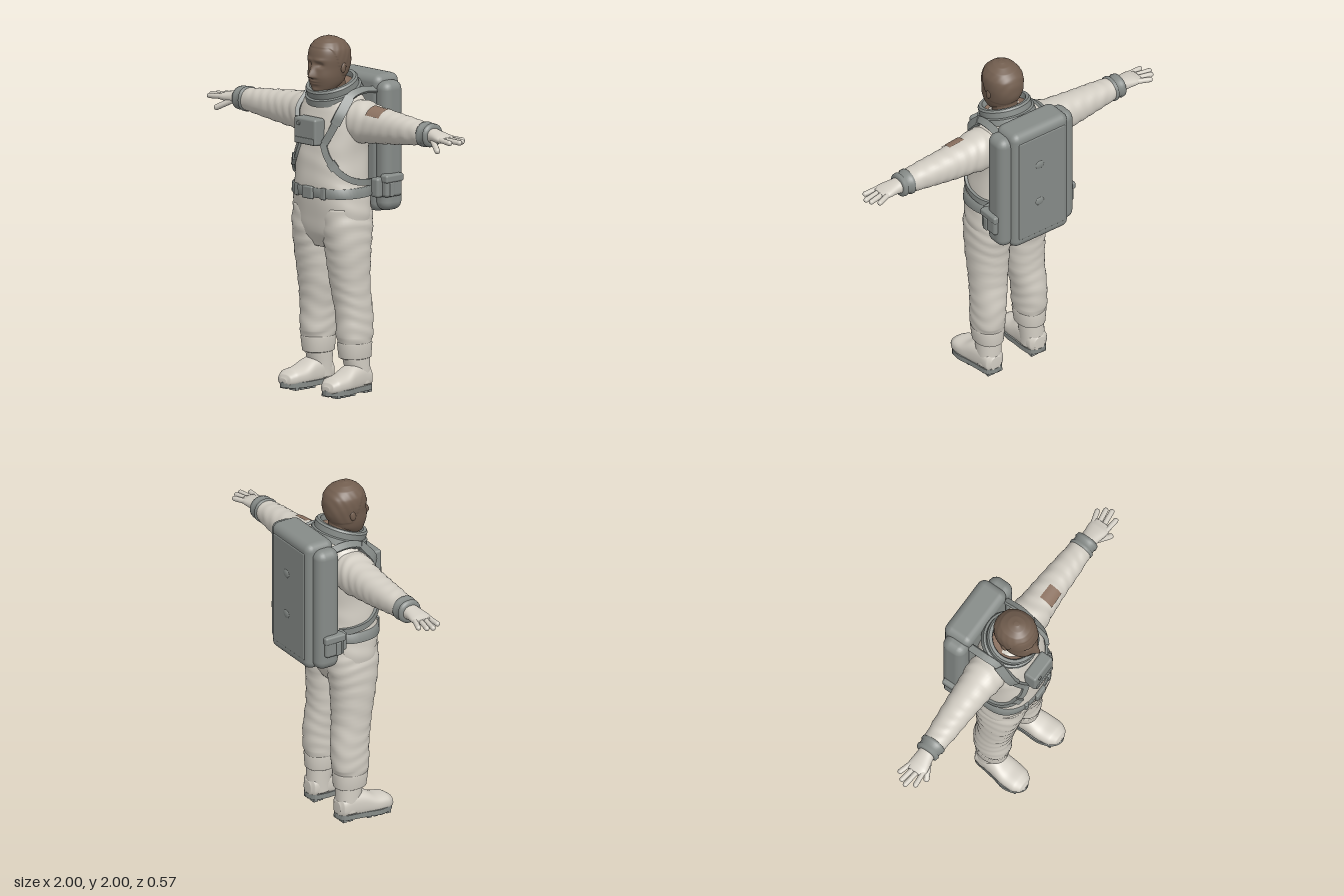
import * as THREE from 'three';
import { toCreasedNormals } from 'three/addons/utils/BufferGeometryUtils.js';
import { RoundedBoxGeometry } from 'three/addons/geometries/RoundedBoxGeometry.js';

const material = (name, color, extra = {}) => {
  const m = new THREE.MeshStandardMaterial({ color, ...extra });
  m.name = name;
  return m;
};
const V = (x, y, z) => new THREE.Vector3(x, y, z);
const step = THREE.MathUtils.smoothstep;
const power = (v, e) => Math.sign(v) * Math.abs(v) ** e;
const bump = (d, w) => Math.exp(-((d / w) ** 2));

// Places a cross-section point: section = [position along axis, centre a, centre b, radius a, radius b]
const place = {
  x: (p, a, b, c, s) => [p, a + c, b + s],
  y: (p, a, b, c, s) => [a + s, p, b + c],
  z: (p, a, b, c, s) => [a + c, b + s, p],
};

function buildGeometry(pos, idx) {
  const g = new THREE.BufferGeometry();
  g.setAttribute('position', new THREE.Float32BufferAttribute(pos, 3));
  g.setIndex(idx);
  g.computeVertexNormals();
  return g;
}

// Smooth skin through superelliptic sections, with optional cloth folds and a partial arc
function loft(axis, sections, { n = 2.2, sub = 8, seg = 40, fold = 0, freq = 80, arc = null } = {}) {
  const pos = [], idx = [], last = (sections.length - 1) * sub, cols = arc ? seg + 1 : seg;
  for (let i = 0; i <= last; i++) {
    const k = Math.min(Math.floor(i / sub), sections.length - 2), t = i / sub - k;
    const sec = [0, 1, 2, 3, 4].map(q => {
      const f = j => sections[THREE.MathUtils.clamp(j, 0, sections.length - 1)][q];
      if (sub === 1 || q === 0) return f(k) + (f(k + 1) - f(k)) * t;
      const m0 = (f(k + 1) - f(k - 1)) / 2, m1 = (f(k + 2) - f(k)) / 2, d = f(k + 1) - f(k);
      return f(k) + m0 * t + (3 * d - 2 * m0 - m1) * t * t + (m0 + m1 - 2 * d) * t ** 3;
    });
    const [p, a, b, ra, rb] = sec;
    for (let j = 0; j < cols; j++) {
      const th = arc ? arc[0] + (arc[1] - arc[0]) * j / seg : j / seg * Math.PI * 2;
      const w = 1 + fold * Math.sin(p * freq + 2 * Math.sin(2 * th + p * 9));
      let c = power(Math.cos(th), 2 / n) * ra * w, s = power(Math.sin(th), 2 / n) * rb * w;
      if (axis === 'y') { c = power(Math.cos(th), 2 / n) * rb * w; s = power(Math.sin(th), 2 / n) * ra * w; }
      pos.push(...place[axis](p, a, b, c, s));
      if (i < last && (!arc || j < seg)) {
        const A = i * cols + j, B = i * cols + (j + 1) % cols;
        idx.push(A, B, A + cols, B, B + cols, A + cols);
      }
    }
  }
  if (!arc) [0, last].forEach(i => {
    const s = sections[i ? sections.length - 1 : 0], centre = pos.length / 3;
    pos.push(...place[axis](s[0], s[1], s[2], 0, 0));
    for (let j = 0; j < seg; j++) {
      const A = i * cols + j, B = i * cols + (j + 1) % cols;
      idx.push(...(i ? [A, B, centre] : [B, A, centre]));
    }
  });
  return buildGeometry(pos, idx);
}

// Flat webbing that follows a path and faces away from the body axis
function ribbon(points, width, thick, steps = 40) {
  const curve = new THREE.CatmullRomCurve3(points), pos = [], idx = [];
  for (let i = 0; i <= steps; i++) {
    const p = curve.getPointAt(i / steps), t = curve.getTangentAt(i / steps);
    const out = V(p.x, Math.max(0, p.y - 1.55) * 1.6, p.z - 0.05);
    out.addScaledVector(t, -out.dot(t)).normalize();
    const side = t.clone().cross(out).normalize();
    [[-1, -1], [1, -1], [1, 1], [-1, 1]].forEach(([u, v]) => pos.push(...p.clone()
      .addScaledVector(side, u * width / 2).addScaledVector(out, v * thick / 2).toArray()));
    for (let j = 0; j < 4 && i < steps; j++) {
      const A = i * 4 + j, B = i * 4 + (j + 1) % 4;
      idx.push(A, A + 4, B, B, A + 4, B + 4);
    }
  }
  const e = steps * 4;
  idx.push(0, 1, 2, 0, 2, 3, e, e + 2, e + 1, e, e + 3, e + 2);
  return toCreasedNormals(buildGeometry(pos, idx), 0.6);
}

const box = (w, h, d, x, y, z, r = 0.01) => new RoundedBoxGeometry(w, h, d, 3, r).translate(x, y, z);

function capsule(a, b, r) {
  const d = b.clone().sub(a), q = new THREE.Quaternion().setFromUnitVectors(V(0, 1, 0), d.clone().normalize());
  const mid = a.clone().add(b).multiplyScalar(0.5);
  return new THREE.CapsuleGeometry(r, d.length(), 6, 14).applyQuaternion(q).translate(mid.x, mid.y, mid.z);
}

function mirrored(geo) {
  const g = geo.clone().scale(-1, 1, 1);
  const ix = g.index ? Array.from(g.index.array) : Array.from({ length: g.attributes.position.count }, (_, i) => i);
  for (let i = 0; i < ix.length; i += 3) [ix[i], ix[i + 1]] = [ix[i + 1], ix[i]];
  return g.setIndex(ix);
}

const TORSO = [[0.82, 0, 0.06, 0.14, 0.1], [0.9, 0, 0.06, 0.215, 0.145], [1.0, 0, 0.06, 0.238, 0.16],
  [1.1, 0, 0.065, 0.232, 0.17], [1.2, 0, 0.065, 0.212, 0.175], [1.35, 0, 0.06, 0.205, 0.172],
  [1.5, 0, 0.045, 0.215, 0.165], [1.6, 0, 0.04, 0.205, 0.148], [1.66, 0, 0.04, 0.165, 0.125], [1.7, 0, 0.03, 0.1, 0.08]];

// Point on the torso surface at an angle from the front
function onTorso(deg, y, lift = 0.008) {
  const k = TORSO.findIndex(s => s[0] >= y), A = TORSO[k - 1], B = TORSO[k], t = (y - A[0]) / (B[0] - A[0]);
  const f = q => A[q] + (B[q] - A[q]) * t, th = deg * Math.PI / 180;
  return V(power(Math.sin(th), 2 / 2.4) * (f(3) + lift), y, f(2) + power(Math.cos(th), 2 / 2.4) * (f(4) + lift));
}

// Head skin with brow, eye sockets, nose, lips and a raised hairline
function headGeometry() {
  const g = loft('y', [[1.68, 0, 0.15, 0.025, 0.025], [1.7, 0, 0.13, 0.058, 0.06], [1.74, 0, 0.108, 0.082, 0.096],
    [1.78, 0, 0.1, 0.094, 0.114], [1.83, 0, 0.088, 0.101, 0.122], [1.88, 0, 0.086, 0.106, 0.123],
    [1.93, 0, 0.085, 0.101, 0.113], [1.97, 0, 0.085, 0.077, 0.083], [1.99, 0, 0.09, 0.046, 0.05],
    [2.0, 0, 0.09, 0.012, 0.014]], { n: 2.2, seg: 96, sub: 10 });
  const p = g.attributes.position;
  for (let i = 0; i < p.count; i++) {
    let x = p.getX(i), y = p.getY(i), z = p.getZ(i);
    const hair = step(y - (1.78 + 0.16 * step(z, 0.07, 0.16)), 0, 0.008) * (1 - step(y, 1.95, 1.99));
    const grow = 1 + hair * (0.035 + 0.008 * Math.sin(z * 160 + y * 70));
    if (z > 0.1) {
      const ax = Math.abs(x);
      z += 0.034 * bump(x, 0.013 + 0.12 * Math.max(0, 1.85 - y)) * step(y, 1.77, 1.785) * (1 - step(y, 1.785, 1.87));
      z -= 0.016 * bump(ax - 0.04, 0.02) * bump(y - 1.85, 0.013);
      z += 0.006 * bump(ax - 0.035, 0.03) * bump(y - 1.878, 0.01);
      z += 0.007 * bump(x, 0.028) * (bump(y - 1.757, 0.006) + bump(y - 1.742, 0.006));
      z += 0.01 * bump(x, 0.03) * bump(y - 1.705, 0.014);
    }
    p.setXYZ(i, x * grow, y, 0.087 + (z - 0.087) * grow);
  }
  g.computeVertexNormals();
  return g;
}

export function createModel() {
  const root = new THREE.Group();
  const suit = material('suit white', 0xd2cdc3), grey = material('equipment grey', 0x868b88);
  const skin = material('head brown', 0x725e4f), tan = material('patch tan', 0x8c7261, { side: THREE.DoubleSide });
  const add = (name, mat, geo) => {
    const m = new THREE.Mesh(geo, mat);
    m.name = name;
    root.add(m);
  };
  const pair = (name, mat, geo) => { add(name + 'Left', mat, geo); add(name + 'Right', mat, mirrored(geo)); };

  // Head and neck
  add('head', skin, headGeometry());
  add('neck', skin, loft('y', [[1.6, 0, 0.05, 0.075, 0.075], [1.7, 0, 0.06, 0.07, 0.072], [1.79, 0, 0.07, 0.07, 0.078]]));
  pair('ear', skin, new THREE.SphereGeometry(1, 16, 12).scale(0.01, 0.03, 0.018).rotateX(-0.2).translate(0.104, 1.83, 0.075));

  // Suit torso, legs and arms
  add('torso', suit, loft('y', TORSO, { n: 2.4, seg: 56, fold: 0.006, freq: 45 }));
  pair('leg', suit, loft('y', [[0.28, 0.145, 0.03, 0.083, 0.098], [0.32, 0.145, 0.03, 0.09, 0.108], [0.45, 0.14, 0.03, 0.094, 0.11],
    [0.6, 0.128, 0.047, 0.106, 0.111], [0.8, 0.124, 0.06, 0.118, 0.13], [0.95, 0.12, 0.06, 0.12, 0.152],
    [1.05, 0.117, 0.06, 0.112, 0.15]], { fold: 0.018, freq: 75 }));
  pair('trouserCuff', suit, loft('y', [[0.195, 0.145, 0.027, 0.072, 0.088], [0.2, 0.145, 0.027, 0.08, 0.095],
    [0.28, 0.145, 0.03, 0.088, 0.102], [0.29, 0.145, 0.03, 0.08, 0.095]], { sub: 1 }));
  pair('arm', suit, loft('x', [[0.08, 1.55, 0.03, 0.09, 0.09], [0.2, 1.535, 0.022, 0.118, 0.112], [0.3, 1.53, 0.02, 0.106, 0.1],
    [0.45, 1.53, 0.02, 0.091, 0.088], [0.6, 1.532, 0.024, 0.075, 0.077], [0.72, 1.533, 0.025, 0.062, 0.066]],
    { fold: 0.02, freq: 85 }));
  add('armPatch', tan, loft('x', [[0.31, 1.53, 0.02, 0.11, 0.104], [0.41, 1.53, 0.02, 0.1005, 0.097]],
    { arc: [0.05, 0.98], seg: 12, sub: 1 }));

  // Wrist rings and gloves
  pair('wristRing', grey, loft('x', [[0.695, 1.533, 0.025, 0.058, 0.06], [0.7, 1.533, 0.025, 0.07, 0.073],
    [0.715, 1.533, 0.025, 0.07, 0.073], [0.72, 1.533, 0.025, 0.063, 0.066], [0.745, 1.533, 0.025, 0.061, 0.064],
    [0.75, 1.533, 0.025, 0.067, 0.07], [0.768, 1.533, 0.025, 0.064, 0.067], [0.772, 1.533, 0.025, 0.045, 0.05]], { sub: 1 }));
  pair('palm', suit, loft('x', [[0.75, 1.532, 0.025, 0.046, 0.048], [0.8, 1.533, 0.03, 0.035, 0.052],
    [0.86, 1.53, 0.034, 0.026, 0.06], [0.9, 1.527, 0.034, 0.016, 0.054]]));
  const fingers = [[-0.01, 0.94, -0.032], [0.02, 0.972, 0.003], [0.049, 0.985, 0.035], [0.076, 0.955, 0.083]];
  fingers.forEach(([z, x, tip], i) => pair('finger' + (i + 1), suit, capsule(V(0.87, 1.53, z), V(x, 1.524, tip), 0.0148)));
  pair('thumb', suit, capsule(V(0.805, 1.512, 0.065), V(0.878, 1.472, 0.102), 0.0165));

  // Boots with lugged soles
  pair('bootShaft', suit, loft('y', [[0.05, 0.152, 0.01, 0.068, 0.068], [0.12, 0.15, 0.012, 0.068, 0.07], [0.21, 0.147, 0.022, 0.07, 0.078]]));
  pair('bootFoot', suit, loft('z', [[-0.062, 0.152, 0.075, 0.035, 0.04], [-0.045, 0.152, 0.082, 0.06, 0.06], [0.02, 0.154, 0.09, 0.068, 0.08],
    [0.09, 0.16, 0.083, 0.072, 0.076], [0.16, 0.165, 0.068, 0.078, 0.054], [0.23, 0.169, 0.063, 0.072, 0.046],
    [0.265, 0.171, 0.055, 0.05, 0.032], [0.277, 0.172, 0.05, 0.025, 0.015]], { n: 2.5 }));
  const outline = new THREE.Shape(new THREE.SplineCurve([[0.152, -0.066], [0.205, -0.045], [0.22, 0.03], [0.232, 0.1], [0.247, 0.17],
    [0.23, 0.24], [0.175, 0.28], [0.115, 0.25], [0.084, 0.17], [0.086, 0.08], [0.086, 0.02], [0.1, -0.045], [0.152, -0.066]]
    .map(p => new THREE.Vector2(...p))).getPoints(48));
  pair('sole', grey, new THREE.ExtrudeGeometry(outline, { depth: 0.03, bevelEnabled: false }).rotateX(Math.PI / 2).translate(0, 0.044, 0));
  [-0.038, -0.002, 0.11, 0.15, 0.19, 0.23].forEach((z, i) => [-1, 1].forEach(s =>
    pair('soleLug', grey, new THREE.BoxGeometry(i < 2 ? 0.045 : 0.052, 0.016, 0.026)
      .translate(0.153 + z * 0.06 + s * (i < 2 ? 0.028 : 0.037), 0.008, z))));

  // Neck ring, tilted down at the front, with its lining
  const ring = (pts) => new THREE.LatheGeometry(pts.map(p => new THREE.Vector2(...p)), 48)
    .rotateX(0.33).translate(0, 1.715, 0.06);
  add('collar', grey, toCreasedNormals(ring([[0.165, -0.055], [0.16, -0.02], [0.148, -0.015], [0.15, 0.02],
    [0.142, 0.032], [0.124, 0.032], [0.118, 0.02], [0.116, -0.02]]), 0.6));
  add('collarLining', tan, ring([[0.117, 0.0], [0.095, -0.015], [0.06, -0.02]]));

  // Belt, buckles and harness
  add('belt', grey, loft('y', [[1.11, 0, 0.065, 0.226, 0.165], [1.112, 0, 0.065, 0.238, 0.181],
    [1.165, 0, 0.065, 0.23, 0.184], [1.167, 0, 0.065, 0.21, 0.165]], { n: 2.4, sub: 1, seg: 56 }));
  add('beltBuckle', grey, box(0.08, 0.07, 0.024, 0, 1.138, 0.25, 0.008));
  pair('beltClip', grey, box(0.03, 0.066, 0.02, 0.105, 1.138, 0.232, 0.006));
  const shoulder = [V(0.168, 1.69, -0.12), V(0.17, 1.7, 0), V(0.162, 1.672, 0.085), onTorso(45, 1.58, 0.012)];
  pair('shoulderStrap', grey, ribbon([...shoulder, onTorso(34, 1.5), onTorso(23, 1.42)], 0.042, 0.016));
  pair('strapPad', grey, ribbon([shoulder[2], shoulder[3], onTorso(38, 1.53, 0.012)], 0.056, 0.024, 12));
  pair('sideStrap', grey, ribbon([[20, 1.425], [32, 1.34], [55, 1.255], [80, 1.21], [105, 1.19], [130, 1.18]]
    .map(p => onTorso(...p)), 0.036, 0.016));
  pair('strapBuckle', grey, ribbon([onTorso(37, 1.318, 0.012), onTorso(46, 1.28, 0.012)], 0.05, 0.022, 6));

  // Chest control box
  add('chestBox', grey, box(0.172, 0.15, 0.08, 0, 1.483, 0.238, 0.014));
  add('chestBoxLid', grey, box(0.15, 0.035, 0.012, 0, 1.43, 0.278, 0.005));
  add('chestKnob', grey, new THREE.CylinderGeometry(0.012, 0.014, 0.014, 16).rotateX(Math.PI / 2).translate(-0.045, 1.525, 0.278));

  // Life-support pack: centre slab, rounded side rails, back panel and side pouches
  add('packBody', grey, box(0.39, 0.77, 0.18, 0, 1.385, -0.19, 0.045));
  pair('packRail', grey, box(0.11, 0.73, 0.145, 0.205, 1.375, -0.175, 0.05));
  add('packPanel', grey, box(0.32, 0.66, 0.02, 0, 1.385, -0.274, 0.009));
  [1.27, 1.52].forEach((y, i) => add('packFitting' + (i + 1), grey,
    new THREE.SphereGeometry(1, 20, 12).scale(0.03, 0.026, 0.009).translate(0.02, y, -0.281)));
  pair('sidePouch', grey, box(0.06, 0.13, 0.125, 0.25, 1.16, -0.15, 0.018));
  pair('pouchFlap', grey, box(0.05, 0.045, 0.135, 0.26, 1.2, -0.15, 0.012));
  pair('pouchLatch', grey, box(0.02, 0.08, 0.035, 0.276, 1.14, -0.13, 0.006));
  pair('hipBracket', grey, box(0.06, 0.11, 0.06, 0.215, 1.15, -0.08, 0.015));
  return root;
}
